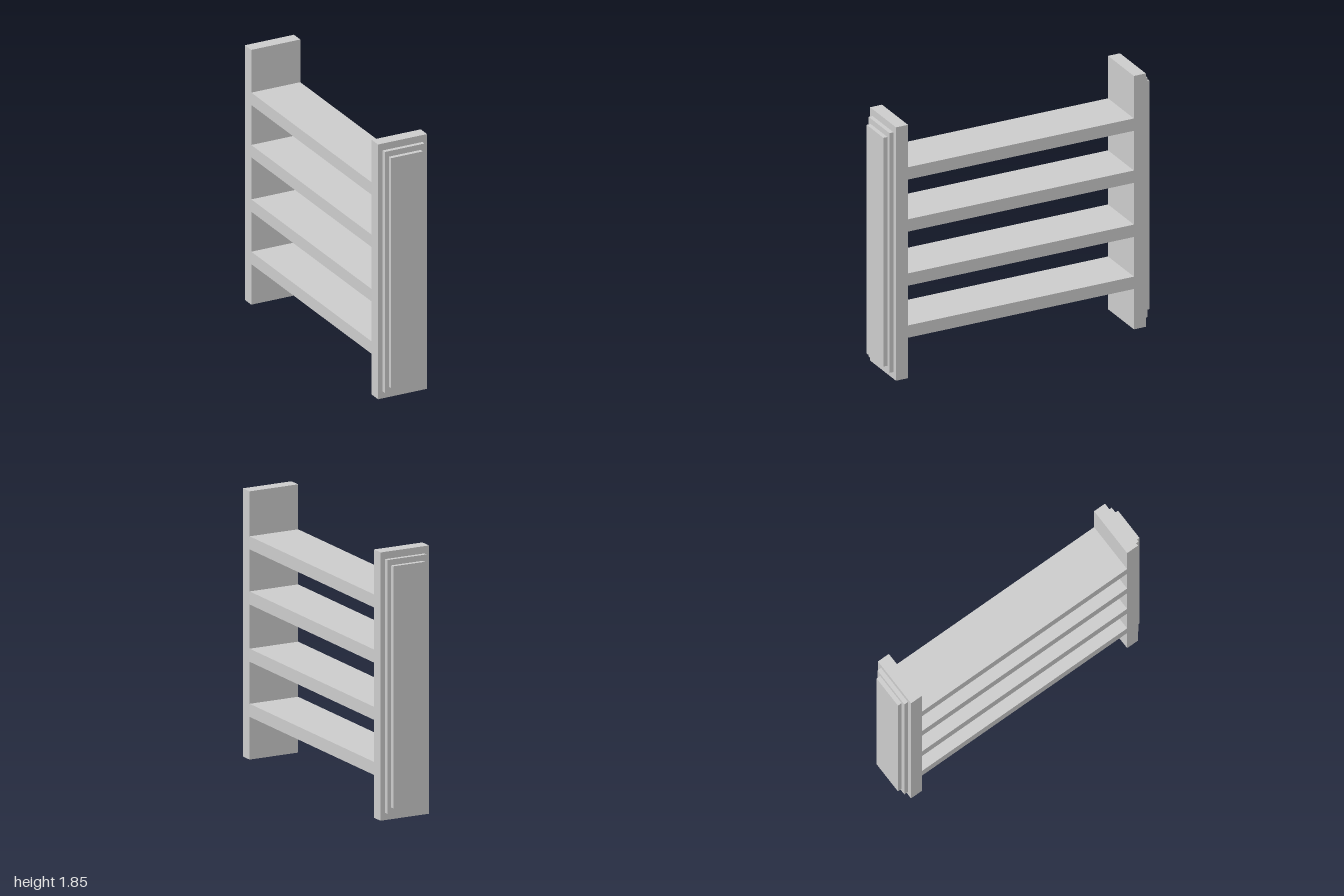
import * as THREE from 'three';

export function createModel() {
  const model = new THREE.Group();
  model.name = 'shelfUnit';
  const material = new THREE.MeshStandardMaterial({ color: 0xcccccc, flatShading: true });

  // Box given by its width and its y and z ranges, centred on x
  function addBox(parent, name, width, y0, y1, z0, z1) {
    const mesh = new THREE.Mesh(new THREE.BoxGeometry(width, y1 - y0, z1 - z0), material);
    mesh.position.set(0, (y0 + y1) / 2, (z0 + z1) / 2);
    mesh.name = name;
    parent.add(mesh);
  }

  // Two upright ends, each with a stepped raised panel on its outer face
  for (const [name, turn] of [['frontEnd', 0], ['backEnd', Math.PI]]) {
    const end = new THREE.Group();
    end.name = name;
    addBox(end, 'upright', 0.37, 0, 1.85, 0.85, 0.94);
    addBox(end, 'outerPanel', 0.3, 0.05, 1.8, 0.94, 0.97);
    addBox(end, 'innerPanel', 0.24, 0.09, 1.76, 0.97, 1);
    end.rotation.y = turn;
    model.add(end);
  }

  // Four shelves between the ends
  [0.295, 0.675, 1.07, 1.45].forEach((y, i) => {
    addBox(model, `shelf${i + 1}`, 0.37, y, y + 0.09, -0.85, 0.85);
  });

  return model;
}
